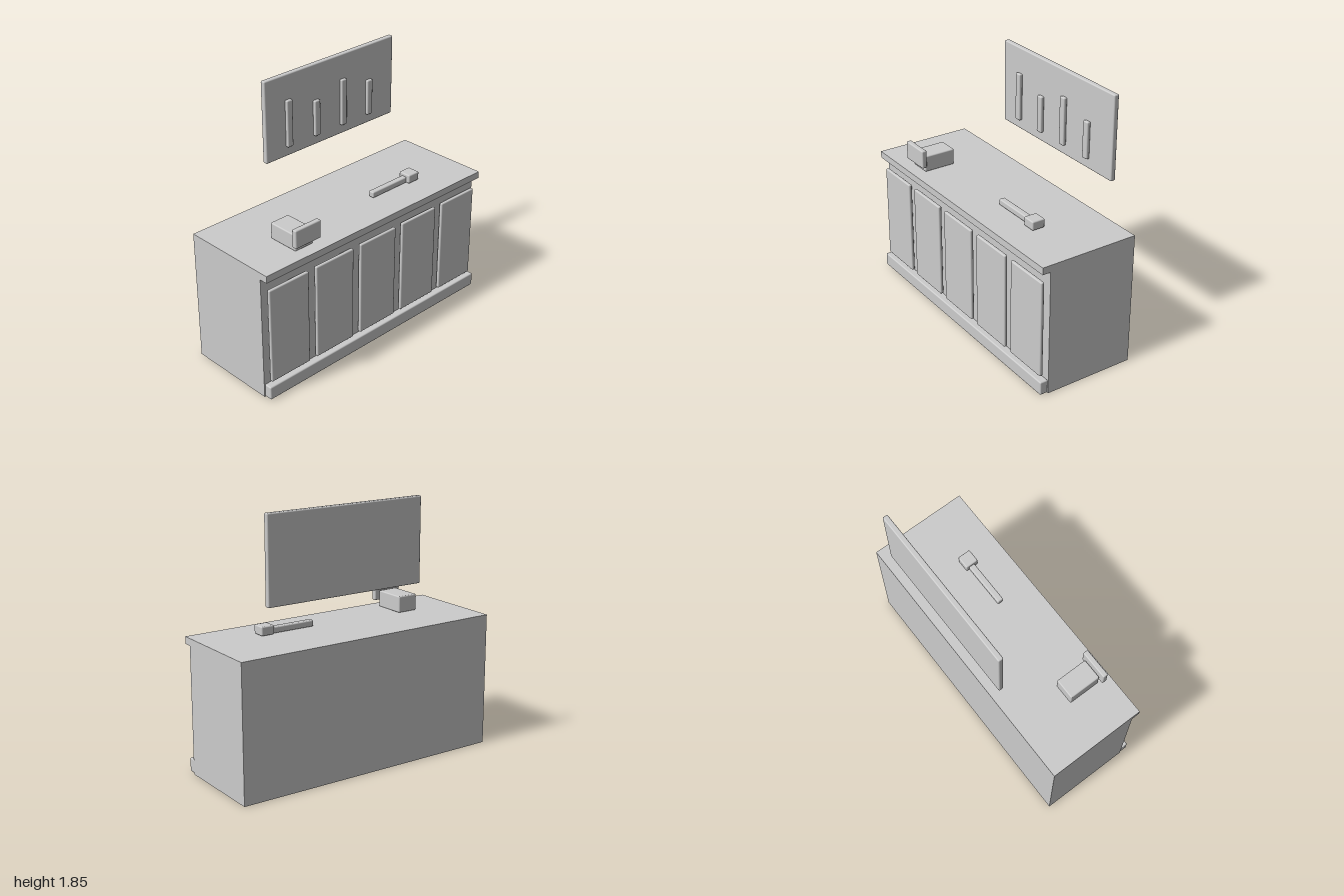
import * as THREE from 'three';
import { RoundedBoxGeometry } from 'three/addons/geometries/RoundedBoxGeometry.js';

export function createModel() {
  const model = new THREE.Group();
  model.name = 'serviceCounter';
  const material = new THREE.MeshStandardMaterial({ color: 0xcccccc });

  const add = (name, geometry, parent = model) => {
    const mesh = new THREE.Mesh(geometry, material);
    mesh.name = name;
    parent.add(mesh);
    return mesh;
  };

  // Softly bevelled box given by its [min, max] range on each axis
  const block = (name, [x0, x1], [y0, y1], [z0, z1], parent, radius = 0.009) => {
    const geometry = new RoundedBoxGeometry(x1 - x0, y1 - y0, z1 - z0, 2, radius);
    geometry.translate((x0 + x1) / 2, (y0 + y1) / 2, (z0 + z1) / 2);
    return add(name, geometry, parent);
  };

  const group = (name) => {
    const g = new THREE.Group();
    g.name = name;
    model.add(g);
    return g;
  };

  // Cabinet and overhanging worktop: one side profile (z, y) run along x
  const profile = new THREE.Shape([
    [-0.36, 0], [0.3, 0], [0.3, 0.903], [0.36, 0.903], [0.36, 0.953], [-0.36, 0.953],
  ].map(([z, y]) => new THREE.Vector2(z, y)));
  const cabinet = new THREE.ExtrudeGeometry(profile, { depth: 2, bevelEnabled: false });
  cabinet.translate(0, 0, -1).rotateY(-Math.PI / 2);
  add('cabinetAndWorktop', cabinet);

  // Kickboard along the foot of the front
  block('kickboard', [-0.997, 0.997], [0.005, 0.102], [0.3, 0.36]);

  // Row of front panels
  const panels = group('frontPanels');
  for (let i = 0; i < 5; i++) {
    const x = (i - 2) * 0.4;
    block('frontPanel', [x - 0.167, x + 0.167], [0.125, 0.823], [0.319, 0.345], panels);
  }

  // Till: body with an upright display in front
  const till = group('till');
  block('tillBody', [-0.676, -0.524], [0.953, 1.071], [0.032, 0.268], till);
  block('tillDisplay', [-0.708, -0.492], [1.0, 1.132], [0.272, 0.31], till);

  // Hand tool lying on the worktop
  const tool = group('handTool');
  block('toolHandle', [0.174, 0.51], [0.955, 1.0], [0.076, 0.12], tool);
  block('toolHead', [0.5, 0.598], [0.957, 1.021], [0.053, 0.149], tool);

  // Hanging board with upright bars of alternating length
  const board = group('hangingBoard');
  block('boardPanel', [-0.398, 0.793], [1.26, 1.85], [-0.351, -0.313], board);
  [1.673, 1.594, 1.673, 1.594].forEach((top, i) => {
    const x = -0.203 + i * 0.25;
    block('boardBar', [x - 0.025, x + 0.025], [1.333, top], [-0.314, -0.286], board);
  });

  return model;
}
